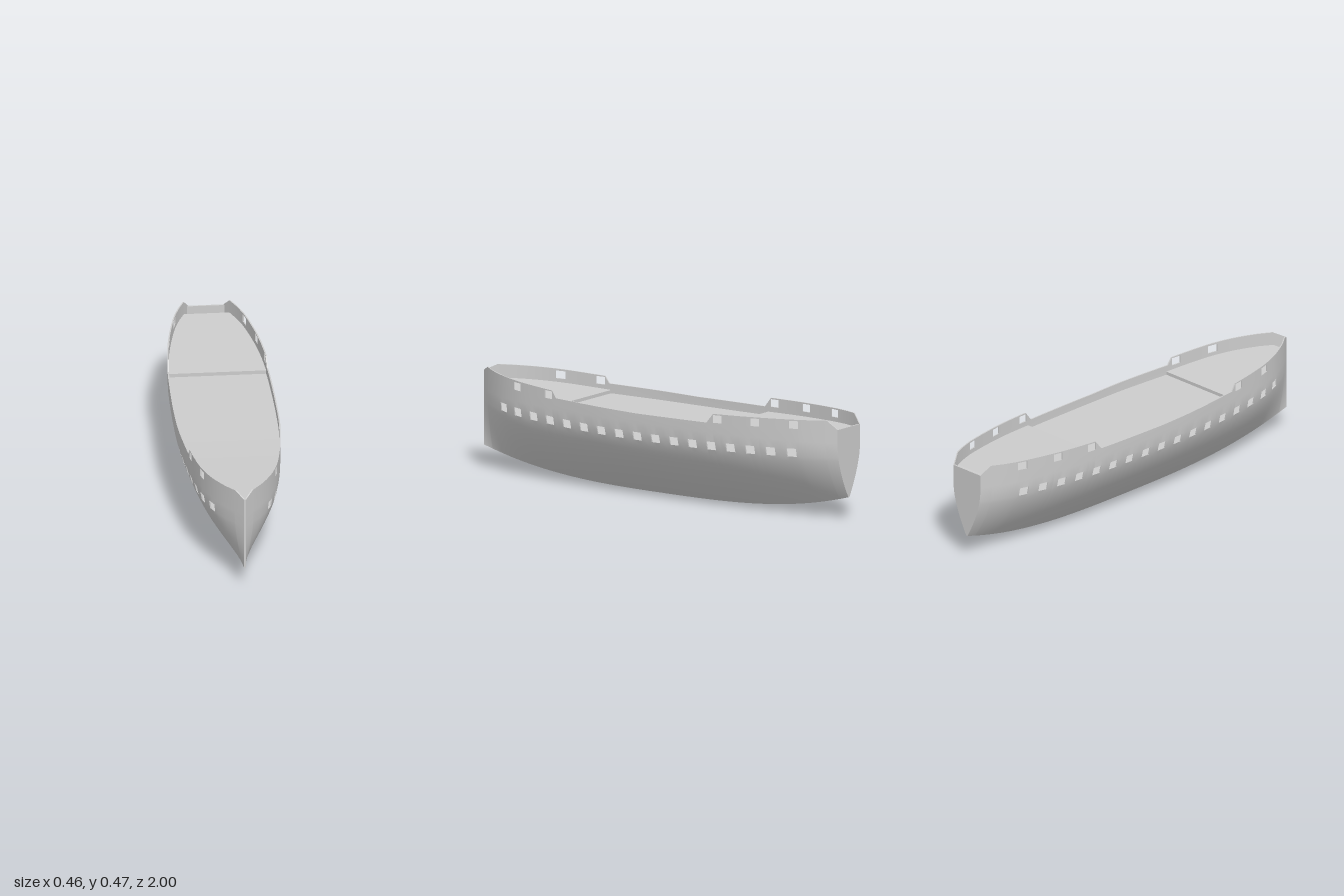
import * as THREE from 'three';

const hullGrey = new THREE.MeshStandardMaterial({ name: 'hullGrey', color: 0xcccccc, side: THREE.DoubleSide });
hullGrey.name = 'hull grey';

// Interpolate through [z, value] points, straight or smooth
function curve(points, smooth) {
  const slope = k => {
    const a = points[Math.max(0, k - 1)], b = points[Math.min(points.length - 1, k + 1)];
    return (b[1] - a[1]) / (b[0] - a[0]);
  };
  return z => {
    let k = 0;
    while (k < points.length - 2 && z > points[k + 1][0]) k++;
    const [z0, a] = points[k], [z1, b] = points[k + 1], h = z1 - z0;
    const t = THREE.MathUtils.clamp((z - z0) / h, 0, 1);
    if (!smooth) return a + (b - a) * t;
    const t2 = t * t, t3 = t2 * t;
    return a * (2 * t3 - 3 * t2 + 1) + b * (3 * t2 - 2 * t3)
      + h * (slope(k) * (t3 - 2 * t2 + t) + slope(k + 1) * (t3 - t2));
  };
}

// Hull lines
const beam = curve([[-1, .085], [-.9, .132], [-.8, .164], [-.6, .203], [-.4, .223], [-.2, .23], [0, .232],
  [.2, .228], [.45, .206], [.6, .186], [.7, .166], [.8, .132], [.9, .08], [.955, .04], [1, .005]], true);
const railPoints = [[-1, .42], [-.955, .461], [-.415, .446], [-.38, .403], [0, .4], [.46, .409],
  [.482, .441], [.955, .465], [1, .44]];
const rail = curve(railPoints, false);
const keel = z => .102 * Math.abs(z) ** 2.9;
const portY = z => .296 + (z > 0 ? .03 : .016) * z * z;
const upperPortY = curve([[-1, .438], [-.81, .434], [-.43, .424], [.5, .42], [.7, .427], [1, .44]], false);
const PORT_W = .023, PORT_H = .019, SKIN = .006;

const lowerPorts = Array.from({ length: 17 }, (_, i) => (i - 8) / 10);
const upperPorts = [-.81, -.625, -.435, .505, .7];

function halfWidth(z, y) {
  const k = keel(z), t = THREE.MathUtils.clamp((y - k) / (.335 - k), 0, 1);
  return .004 + (beam(z) - .004) * (1 - (1 - t) ** 1.65);
}

// Stations along the length, aligned to port edges and rail breaks
const stations = [...new Set([
  ...Array.from({ length: 41 }, (_, i) => -1 + i * .05),
  ...[...lowerPorts, ...upperPorts].flatMap(z => [z - PORT_W, z + PORT_W]),
  ...railPoints.map(p => p[0]), -.98, .98,
].map(z => Math.round(z * 1000) / 1000))].sort((a, b) => a - b);

// Heights of the plank rows at one station
const BOTTOM_ROWS = 14;
function rowHeights(z) {
  const k = keel(z), low = portY(z) - PORT_H, up = upperPortY(z), ys = [];
  for (let j = 0; j <= BOTTOM_ROWS; j++) ys.push(k + (low - k) * (j / BOTTOM_ROWS) ** 1.2);
  ys.push(low + 2 * PORT_H, .36, up - .018, up + .017, 1);
  return ys.map(y => Math.min(y, rail(z)));
}
const rows = stations.map(rowHeights);
const rowCount = rows[0].length;

function isPlank(i, j) {
  if (i < 0 || j < 0 || i >= stations.length - 1 || j >= rowCount - 1) return false;
  if (rows[i][j + 1] - rows[i][j] < 1e-5 && rows[i + 1][j + 1] - rows[i + 1][j] < 1e-5) return false;
  const mid = (stations[i] + stations[i + 1]) / 2;
  const inPort = list => list.some(z => Math.abs(mid - z) < PORT_W);
  if (j === BOTTOM_ROWS && inPort(lowerPorts)) return false;
  return !(j === BOTTOM_ROWS + 3 && inPort(upperPorts));
}

function makeGeometry(positions, index) {
  const g = new THREE.BufferGeometry();
  g.setAttribute('position', new THREE.Float32BufferAttribute(positions, 3));
  g.setIndex(index);
  g.computeVertexNormals();
  return g;
}

function addMesh(group, name, geometry) {
  const mesh = new THREE.Mesh(geometry, hullGrey);
  mesh.name = name;
  group.add(mesh);
}

// One side of the hull: outer skin, inner skin, and the edges of ports and rail
function hullSide(side) {
  const group = new THREE.Group();
  group.name = side > 0 ? 'leftHullSide' : 'rightHullSide';
  const point = (i, j, inset) => {
    const x = halfWidth(stations[i], rows[i][j]);
    return [side * Math.max(0, x - inset), rows[i][j], stations[i]];
  };
  const quad = (list, a, b, c, d) => side > 0 ? list.push(a, b, c, a, c, d) : list.push(a, c, b, a, d, c);
  const outer = [], inner = [], edges = [], outerIdx = [], innerIdx = [], edgeIdx = [];
  stations.forEach((_, i) => {
    for (let j = 0; j < rowCount; j++) {
      outer.push(...point(i, j, 0));
      inner.push(...point(i, j, SKIN));
    }
  });
  for (let i = 0; i < stations.length - 1; i++) for (let j = 0; j < rowCount - 1; j++) {
    if (!isPlank(i, j)) continue;
    const corners = [[i, j], [i, j + 1], [i + 1, j + 1], [i + 1, j]];
    const [a, b, c, d] = corners.map(([m, n]) => m * rowCount + n);
    quad(outerIdx, a, b, c, d);
    quad(innerIdx, d, c, b, a);
    [[-1, 0], [0, 1], [1, 0], [0, -1]].forEach(([di, dj], k) => {
      if (isPlank(i + di, j + dj)) return;
      const p = corners[k], q = corners[(k + 1) % 4], n = edges.length / 3;
      edges.push(...point(...q, 0), ...point(...p, 0), ...point(...p, SKIN), ...point(...q, SKIN));
      quad(edgeIdx, n, n + 1, n + 2, n + 3);
    });
  }
  addMesh(group, 'outerPlanking', makeGeometry(outer, outerIdx));
  addMesh(group, 'innerPlanking', makeGeometry(inner, innerIdx));
  addMesh(group, 'portAndRailEdges', makeGeometry(edges, edgeIdx));
  return group;
}

// Deck strip across the hull following a list of [z, y] points
function deck(profile) {
  const pos = [], idx = [];
  profile.forEach(([z, y], i) => {
    const x = Math.max(0, halfWidth(z, y) - SKIN / 2);
    pos.push(-x, y, z, x, y, z);
    if (i) idx.push(2 * i - 2, 2 * i, 2 * i + 1, 2 * i - 2, 2 * i + 1, 2 * i - 1);
  });
  const g = makeGeometry(pos, idx).toNonIndexed();
  g.computeVertexNormals();
  return g;
}

export function createModel() {
  const ship = new THREE.Group();
  ship.name = 'shipHull';
  ship.add(hullSide(1), hullSide(-1));

  // Main deck with raised fore and aft decks
  const aftStep = -.4, foreStep = .45;
  const raised = curve([[-1, .375], [-.955, .401], [aftStep, .382], [foreStep, .381], [.955, .405], [1, .385]], false);
  const waist = z => .362 + .02 * z * z;
  const main = stations.filter(z => z < aftStep).map(z => [z, raised(z)]);
  main.push([aftStep, raised(aftStep)], [aftStep, waist(aftStep)]);
  main.push(...stations.filter(z => z > aftStep && z < foreStep).map(z => [z, waist(z)]));
  main.push([foreStep, waist(foreStep)], [foreStep, raised(foreStep)]);
  main.push(...stations.filter(z => z > foreStep).map(z => [z, raised(z)]));
  addMesh(ship, 'mainDeck', deck(main));

  // Gun deck below the lower ports
  addMesh(ship, 'lowerDeck', deck(stations.map(z => [z, portY(z) - PORT_H - .015])));

  // Flat stern plate
  const half = rows[0].map(y => new THREE.Vector2(Math.max(0, halfWidth(-1, y) - .002), y));
  const outline = [...half, ...half.map(p => new THREE.Vector2(-p.x, p.y)).reverse()];
  const transom = new THREE.ExtrudeGeometry(new THREE.Shape(outline), { depth: .008, bevelEnabled: false });
  transom.translate(0, 0, -1);
  addMesh(ship, 'transom', transom);
  return ship;
}
